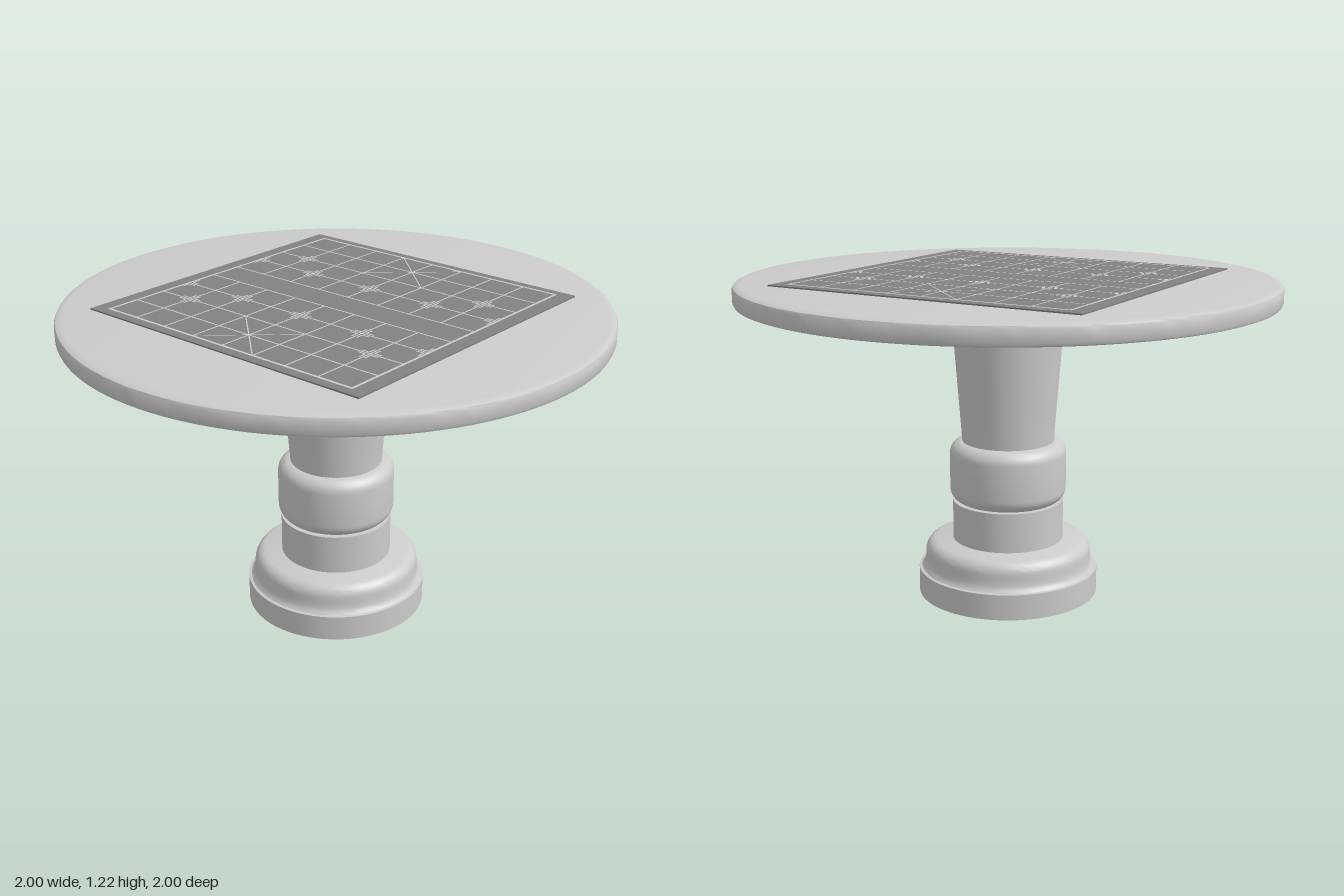
import * as THREE from 'three';
import { toCreasedNormals, mergeGeometries } from 'three/addons/utils/BufferGeometryUtils.js';

const grey = new THREE.MeshStandardMaterial({ color: 0xcccccc });
const dark = new THREE.MeshStandardMaterial({ color: 0x828282 });

function addMesh(group, name, geometry, material = grey) {
  const mesh = new THREE.Mesh(geometry, material);
  mesh.name = name;
  group.add(mesh);
  return mesh;
}

// Turned part from a profile of [radius, height] points, bottom to top
function turned(profile, segments = 96) {
  const points = profile.map(([r, y]) => new THREE.Vector2(r, y));
  return toCreasedNormals(new THREE.LatheGeometry(points, segments), 0.6);
}

// Quarter arc of profile points around (r, y), angles in degrees
function arc(r, y, radius, from, to, steps = 8) {
  return Array.from({ length: steps + 1 }, (_, i) => {
    const a = THREE.MathUtils.degToRad(from + (to - from) * i / steps);
    return [r + radius * Math.cos(a), y + radius * Math.sin(a)];
  });
}

export function createModel() {
  const model = new THREE.Group();
  model.name = 'gameTable';

  // Pedestal
  addMesh(model, 'base', turned([
    [0, 0], [0.345, 0], [0.345, 0.098], [0.334, 0.1], [0.326, 0.108], [0.321, 0.122],
    [0.319, 0.14], ...arc(0.27, 0.162, 0.048, 0, 90), [0.262, 0.213], [0, 0.213],
  ]));
  addMesh(model, 'neck', turned([[0, 0.2], [0.212, 0.2], [0.212, 0.365], [0, 0.365]]));
  addMesh(model, 'collar', turned([
    [0, 0.362], ...arc(0.172, 0.412, 0.05, -90, 0), ...arc(0.172, 0.548, 0.05, 0, 90), [0, 0.598],
  ]));
  addMesh(model, 'column', turned([[0, 0.59], [0.174, 0.59], [0.216, 1.145], [0, 1.145]]));

  // Round top with a softened rim
  addMesh(model, 'tableTop', turned([
    [0, 1.142], [0.985, 1.142], [0.996, 1.146], [1, 1.155], [1, 1.2],
    [0.996, 1.208], [0.985, 1.213], [0.97, 1.215], [0, 1.215],
  ], 128));

  // Game board
  const board = addMesh(model, 'board', new THREE.BoxGeometry(1.24, 0.01, 1.24), dark);
  board.position.y = 1.215;

  // Board markings as thin strips lying on the board
  const strips = [];
  const line = (x1, z1, x2, z2, width = 0.006) => {
    const strip = new THREE.PlaneGeometry(Math.hypot(x2 - x1, z2 - z1) + width, width);
    strip.rotateX(-Math.PI / 2);
    strip.rotateY(-Math.atan2(z2 - z1, x2 - x1));
    strip.translate((x1 + x2) / 2, 1.2215, (z1 + z2) / 2);
    strips.push(strip);
  };
  const X = 0.58, Z = 0.56, dx = 2 * X / 9, dz = Z / 4;

  // Border and cross lines
  for (const s of [-1, 1]) {
    line(-X, s * Z, X, s * Z, 0.01);
    line(s * X, -Z, s * X, Z, 0.01);
  }
  for (let i = 1; i < 9; i++) line(-X + i * dx, -Z, -X + i * dx, Z);

  // Four corner ticks around a point, kept inside the border
  const marker = (x, z) => {
    for (const sx of [-1, 1]) for (const sz of [-1, 1]) {
      if (Math.abs(z + sz * 0.02) > Z) continue;
      const cx = x + sx * 0.011, cz = z + sz * 0.011;
      line(cx, cz, cx + sx * 0.028, cz);
      line(cx, cz, cx, cz + sz * 0.028);
    }
  };

  // Each half: long lines up to the middle gap, crossed square, markers
  for (const s of [-1, 1]) {
    for (let j = -3; j <= 3; j++) line(s * X, j * dz, s * dx / 2, j * dz);
    line(s * X, -dz, s * (X - 2 * dx), dz, 0.004);
    line(s * X, dz, s * (X - 2 * dx), -dz, 0.004);
    for (const j of [-3, 3]) marker(s * (X - 2 * dx), j * dz);
    for (let j = -4; j <= 4; j += 2) marker(s * (X - 3 * dx), j * dz);
  }
  addMesh(model, 'boardLines', mergeGeometries(strips));

  return model;
}
